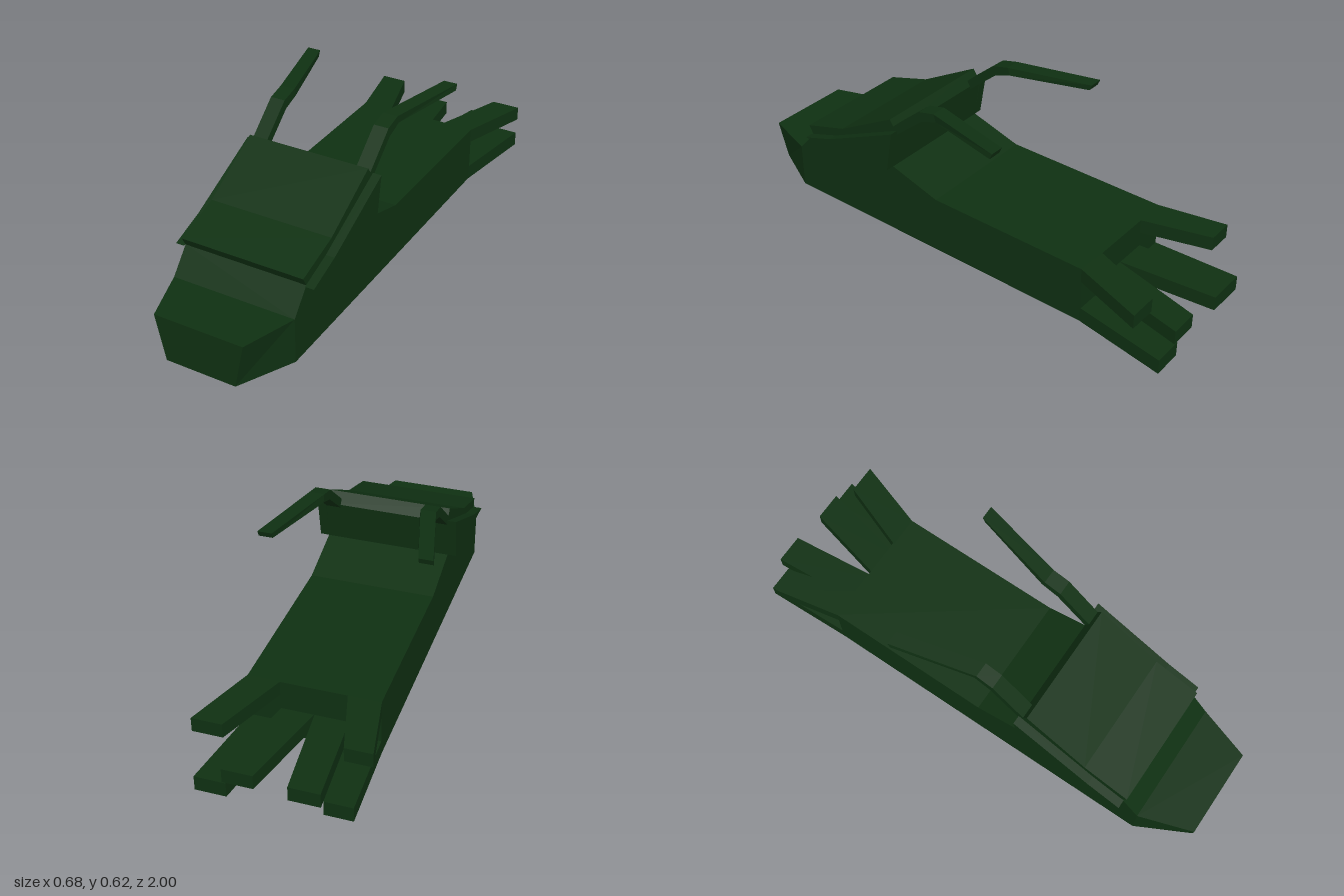
import * as THREE from 'three';

const material = new THREE.MeshStandardMaterial({ color: 0x0f3012, flatShading: true });
const CX = -0.015; // hull centreline

// Closed solid through four-cornered rings, listed front to back
function loft(rings) {
  const pos = [];
  const tri = (a, b, c) => pos.push(...a, ...b, ...c);
  for (let i = 0; i < rings.length - 1; i++) {
    for (let j = 0; j < 4; j++) {
      const k = (j + 1) % 4;
      const [a, b, c, d] = [rings[i][j], rings[i][k], rings[i + 1][k], rings[i + 1][j]];
      tri(a, d, c);
      tri(a, c, b);
    }
  }
  const f = rings[0], r = rings[rings.length - 1];
  tri(f[0], f[1], f[2]);
  tri(f[0], f[2], f[3]);
  tri(r[0], r[2], r[1]);
  tri(r[0], r[3], r[2]);
  const geo = new THREE.BufferGeometry();
  geo.setAttribute('position', new THREE.Float32BufferAttribute(pos, 3));
  geo.computeVertexNormals();
  return geo;
}

// Ring corners: bottom pair then top pair, counter-clockwise from the front
const ring = (x0, x1, yb, yt, zb, zt = zb) =>
  [[x0, yb, zb], [x1, yb, zb], [x1, yt, zt], [x0, yt, zt]];

// Side profile of [z, y] points extruded across x0..x1
function profile(points, x0, x1) {
  const shape = new THREE.Shape(points.map(([z, y]) => new THREE.Vector2(z, y)));
  const geo = new THREE.ExtrudeGeometry(shape, { depth: x1 - x0, bevelEnabled: false });
  return geo.rotateY(-Math.PI / 2).translate(x1, 0, 0);
}

export function createModel() {
  const group = new THREE.Group();
  const add = (name, geo) => {
    const mesh = new THREE.Mesh(geo, material);
    mesh.name = name;
    group.add(mesh);
  };

  // Hull: z, half width at bottom, half width at top, deck height
  const hull = [
    [1, 0.142, 0.18, 0.182], [0.79, 0.25, 0.25, 0.182], [0.71, 0.25, 0.25, 0.275],
    [0.275, 0.25, 0.25, 0.3], [0.06, 0.25, 0.25, 0.236], [-0.62, 0.25, 0.25, 0.236],
  ].map(([z, b, t, y]) => [[CX - b, 0, z], [CX + b, 0, z], [CX + t, y, z], [CX - t, y, z]]);
  add('hull', loft(hull));

  // Raked hood with an overhanging front lip
  add('hood', profile([[0.71, 0.272], [0.73, 0.31], [0.54, 0.367], [0.28, 0.51],
    [0.25, 0.465], [0.275, 0.295]], CX - 0.25, CX + 0.25));

  // Cheek panels beside the hood
  const cheek = [[0.72, 0.273], [0.58, 0.32], [0.245, 0.474], [0.275, 0.3]];
  add('rightCheek', profile(cheek, CX - 0.285, CX - 0.25));
  add('leftCheek', profile(cheek, CX + 0.25, CX + 0.285));

  // Swept-back feelers, inner and outer offset from the centreline
  for (const [name, s] of [['rightFeeler', -1], ['leftFeeler', 1]]) {
    const section = (inner, outer, ...rest) => {
      const xs = [CX + s * inner, CX + s * outer].sort((a, b) => a - b);
      return ring(xs[0], xs[1], ...rest);
    };
    add(name, loft([
      section(0.19, 0.25, 0.42, 0.455, 0.29, 0.3),
      section(0.19, 0.25, 0.562, 0.6, 0.12, 0.13),
      section(0.19, 0.25, 0.586, 0.617, 0.05, 0.06),
      section(0.275, 0.33, 0.597, 0.621, -0.265, -0.275),
    ]));
  }

  // Tail prongs: x range at the hull, x range at the tip, y range, tip z
  const prongs = [
    ['rightUpperProng', -0.265, -0.14, -0.318, -0.215, 0.179, 0.236, -0.885],
    ['leftUpperProng', 0.11, 0.235, 0.215, 0.33, 0.179, 0.236, -0.897],
    ['rightInnerProng', -0.145, -0.015, -0.172, -0.055, 0.06, 0.118, -1],
    ['leftInnerProng', -0.015, 0.11, 0.075, 0.19, 0.06, 0.118, -0.985],
    ['rightLowerProng', -0.265, -0.14, -0.277, -0.17, 0, 0.06, -0.97],
    ['leftLowerProng', 0.11, 0.235, 0.175, 0.293, 0, 0.06, -0.988],
  ];
  for (const [name, a0, a1, b0, b1, y0, y1, z] of prongs) {
    add(name, loft([ring(a0, a1, y0, y1, -0.615), ring(b0, b1, y0, y1, z)]));
  }
  return group;
}
